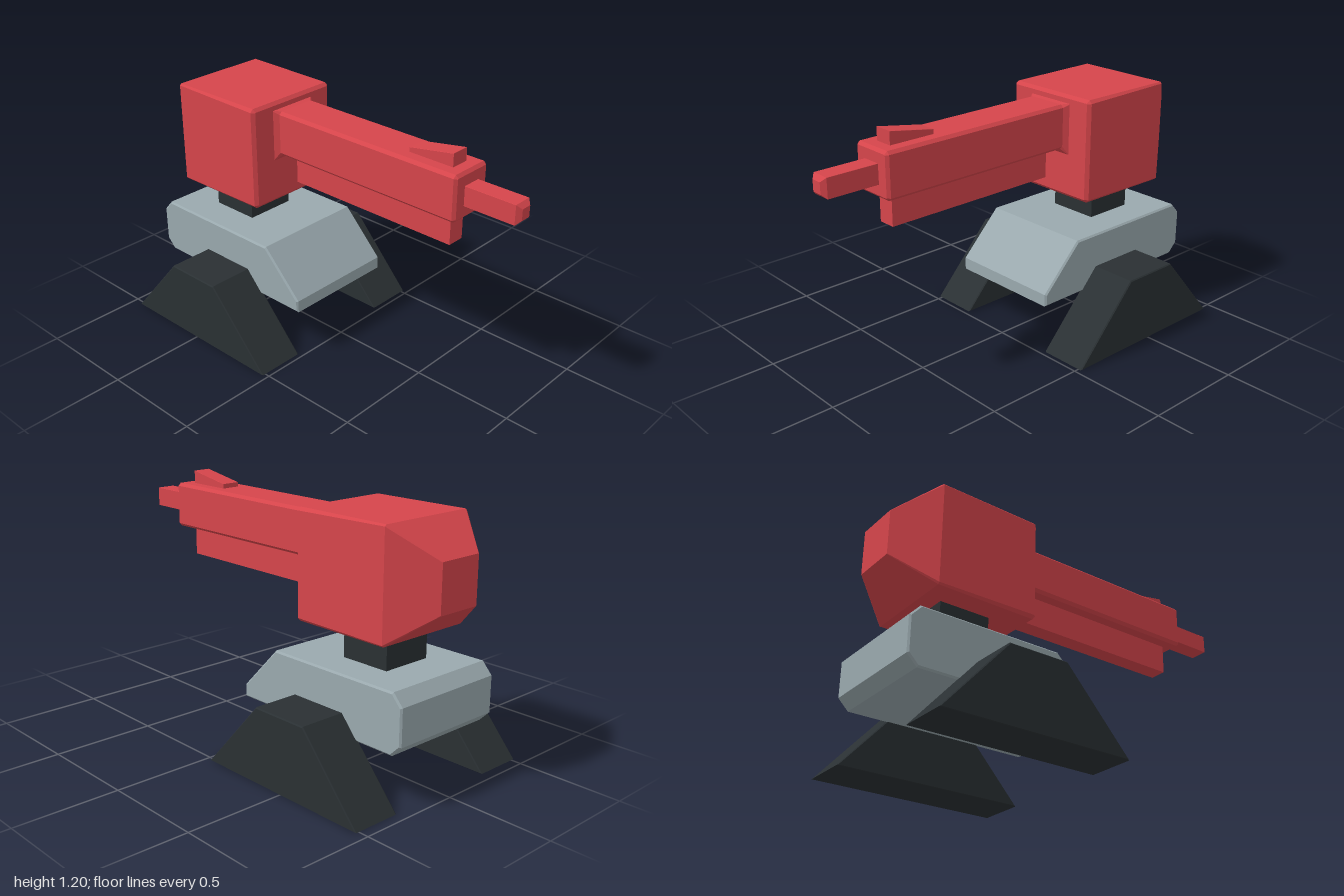
import * as THREE from 'three';

const material = (color) => new THREE.MeshStandardMaterial({ color, flatShading: true });
const red = material(0xd6454b);
const grey = material(0x9aa9ae);
const dark = material(0x2a3033);

function add(parent, name, geometry, mat) {
  const mesh = new THREE.Mesh(geometry, mat);
  mesh.name = name;
  parent.add(mesh);
  return mesh;
}

// Chamfered rectangles [z, half width, bottom, top, chamfer], ordered by rising z.
function loft(sections) {
  const pos = [], index = [], n = 8;
  for (const [z, w, y0, y1, c] of sections) {
    const ring = [
      [w, y0 + c], [w, y1 - c], [w - c, y1], [c - w, y1],
      [-w, y1 - c], [-w, y0 + c], [c - w, y0], [w - c, y0],
    ];
    for (const [x, y] of ring) pos.push(x, y, z);
  }
  const last = (sections.length - 1) * n;
  for (let s = 0; s < last; s += n) {
    for (let i = 0; i < n; i++) {
      const j = (i + 1) % n;
      index.push(s + i, s + j, s + n + j, s + i, s + n + j, s + n + i);
    }
  }
  for (let i = 1; i < n - 1; i++) {
    index.push(0, i + 1, i, last, last + i, last + i + 1);
  }
  const indexed = new THREE.BufferGeometry();
  indexed.setAttribute('position', new THREE.Float32BufferAttribute(pos, 3));
  indexed.setIndex(index);
  const g = indexed.toNonIndexed();
  g.computeVertexNormals();
  return g;
}

// Side profile of [z, y] points extruded across x, with bevelled rims.
function sideExtrude(points, width, bevel) {
  const shape = new THREE.Shape(points.map(([z, y]) => new THREE.Vector2(z, y)));
  const g = new THREE.ExtrudeGeometry(shape, {
    depth: width - 2 * bevel, bevelEnabled: true, bevelSegments: 1,
    bevelSize: bevel, bevelThickness: bevel, bevelOffset: -bevel,
  });
  g.translate(0, 0, bevel - width / 2);
  return g.rotateY(-Math.PI / 2);
}

export function createModel() {
  const model = new THREE.Group();
  model.name = 'turret';

  // Trapezoid feet on both sides
  const footProfile = [[-0.95, 0], [-0.025, 0], [-0.35, 0.355], [-0.64, 0.355]];
  for (const side of [1, -1]) {
    const foot = add(model, side > 0 ? 'leftFoot' : 'rightFoot', sideExtrude(footProfile, 0.24, 0.005), dark);
    foot.position.x = side * 0.399;
  }

  // Base with sloped nose and chamfered rear
  add(model, 'base', sideExtrude([
    [-0.92, 0.25], [-0.01, 0.25], [-0.01, 0.31], [-0.22, 0.525],
    [-0.92, 0.525], [-0.97, 0.47], [-0.97, 0.3],
  ], 0.584, 0.008), grey);

  // Neck between base and head
  const neck = add(model, 'neck', new THREE.BoxGeometry(0.254, 0.22, 0.25), dark);
  neck.position.set(0, 0.6, -0.61);

  // Head tapering towards the rear
  add(model, 'head', loft([
    [-1, 0.112, 0.82, 1.04, 0.002],
    [-0.82, 0.252, 0.677, 1.18, 0.008],
    [-0.325, 0.252, 0.677, 1.18, 0.015],
    [-0.31, 0.236, 0.693, 1.165, 0.003],
  ]), red);

  // Barrel housing flaring into a collar at the head
  add(model, 'barrel', loft([
    [-0.33, 0.126, 0.892, 1.142, 0.003],
    [-0.31, 0.126, 0.892, 1.142, 0.003],
    [-0.285, 0.109, 0.92, 1.138, 0.014],
    [0.717, 0.109, 0.92, 1.138, 0.014],
    [0.73, 0.096, 0.933, 1.124, 0.003],
  ]), red);

  // Muzzle with bevelled tip
  add(model, 'muzzle', loft([
    [0.7, 0.046, 0.982, 1.075, 0.001],
    [0.98, 0.046, 0.982, 1.075, 0.001],
    [1, 0.026, 1.002, 1.055, 0.001],
  ]), red);

  // Wedge sight on top
  add(model, 'sight', loft([
    [0.435, 0.045, 1.1, 1.16, 0.001],
    [0.665, 0.045, 1.1, 1.2, 0.001],
  ]), red);

  // Rail under the barrel
  const rail = add(model, 'underRail', new THREE.BoxGeometry(0.086, 0.18, 0.91), red);
  rail.position.set(0, 0.864, 0.212);

  return model;
}
